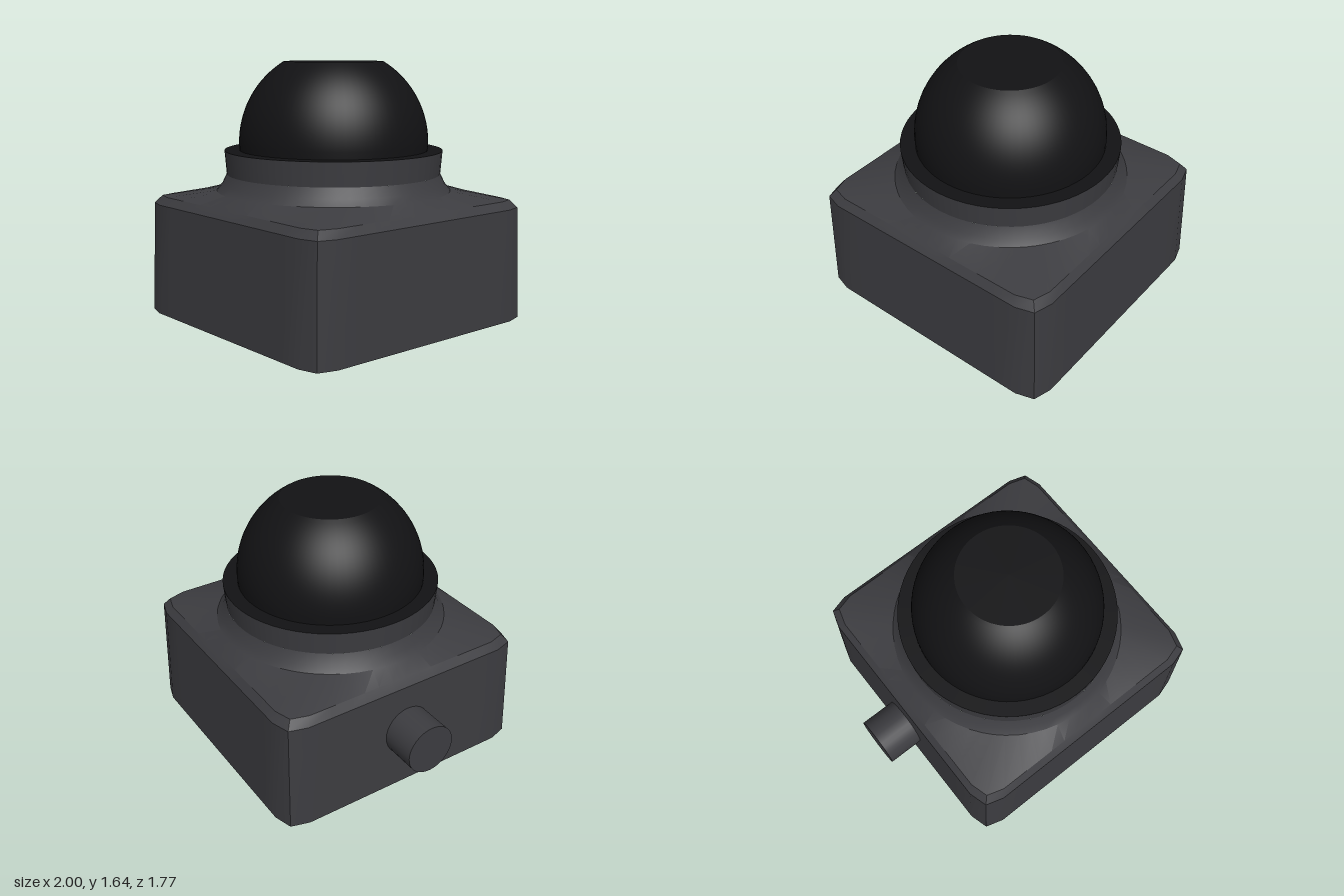
import * as THREE from 'three';
import { toCreasedNormals } from 'three/addons/utils/BufferGeometryUtils.js';

const CX = 0.11; // housing axis, offset by the side connector

// Square of half width 1 with faceted corners, sampled by angle.
function squareLoop() {
  const pts = [];
  const edge = Math.atan(0.825);
  for (let q = 0; q < 4; q++) {
    const side = [];
    for (let i = 0; i <= 12; i++) {
      side.push([1, Math.tan(-edge + (2 * edge * i) / 12)]);
    }
    side.push([0.96, 0.96]);
    const c = Math.round(Math.cos(q * Math.PI / 2));
    const s = Math.round(Math.sin(q * Math.PI / 2));
    for (const [u, v] of side) pts.push([u * c - v * s, u * s + v * c]);
  }
  return pts;
}

// Housing: square loops blending into round ones.
function housingGeometry() {
  const square = squareLoop();
  const round = square.map(([u, v]) => [u / Math.hypot(u, v), v / Math.hypot(u, v)]);
  const sections = [
    [square, 0.885, 0], [square, 0.868, 0.72], [square, 0.83, 0.77],
    [round, 0.75, 0.83], [round, 0.715, 0.872], [round, 0.685, 0.935],
  ];
  const n = square.length;
  const positions = [0, 0, 0];
  const index = [];
  for (const [loop, r, y] of sections) {
    for (const [u, v] of loop) positions.push(u * r, y, -v * r);
  }
  for (let i = 0; i < n; i++) {
    const j = (i + 1) % n;
    index.push(0, 1 + j, 1 + i); // underside
    for (let k = 0; k < sections.length - 1; k++) {
      const a = 1 + k * n + i, b = 1 + k * n + j;
      index.push(a, b, b + n, a, b + n, a + n);
    }
  }
  const geo = new THREE.BufferGeometry();
  geo.setAttribute('position', new THREE.Float32BufferAttribute(positions, 3));
  geo.setIndex(index);
  return toCreasedNormals(geo, 0.4);
}

export function createModel() {
  const model = new THREE.Group();
  model.name = 'domeButton';
  const grey = new THREE.MeshStandardMaterial({ color: 0x3c3c40 });
  const black = new THREE.MeshStandardMaterial({ color: 0x121214 });

  const add = (name, geo, mat, x, y) => {
    const mesh = new THREE.Mesh(geo, mat);
    mesh.name = name;
    mesh.position.set(x, y, 0);
    model.add(mesh);
    return mesh;
  };

  add('housing', housingGeometry(), grey, CX, 0);

  // Flared collar with a dark flat top
  add('collar', new THREE.CylinderGeometry(0.698, 0.685, 0.15, 64, 1, true), grey, CX, 1.01);
  const seat = add('collarTop', new THREE.CircleGeometry(0.698, 64), black, CX, 1.085);
  seat.rotation.x = -Math.PI / 2;

  // Dome with its crown cut flat
  const R = 0.605, centreY = 1.13;
  const topAngle = Math.acos(0.515 / R);
  const profile = [new THREE.Vector2(R - 0.002, 1.085)];
  for (let i = 0; i <= 20; i++) {
    const a = (Math.PI / 2) + (topAngle - Math.PI / 2) * (i / 20);
    profile.push(new THREE.Vector2(R * Math.sin(a), centreY + R * Math.cos(a)));
  }
  add('dome', new THREE.LatheGeometry(profile, 64), black, CX, 0);
  const crown = add('domeCrown', new THREE.CircleGeometry(R * Math.sin(topAngle), 64), black, CX, 1.645);
  crown.rotation.x = -Math.PI / 2;

  // Round connector on the side
  const plug = add('sideConnector', new THREE.CylinderGeometry(0.164, 0.164, 0.3, 32), grey, -0.85, 0.395);
  plug.rotation.z = Math.PI / 2;

  return model;
}
